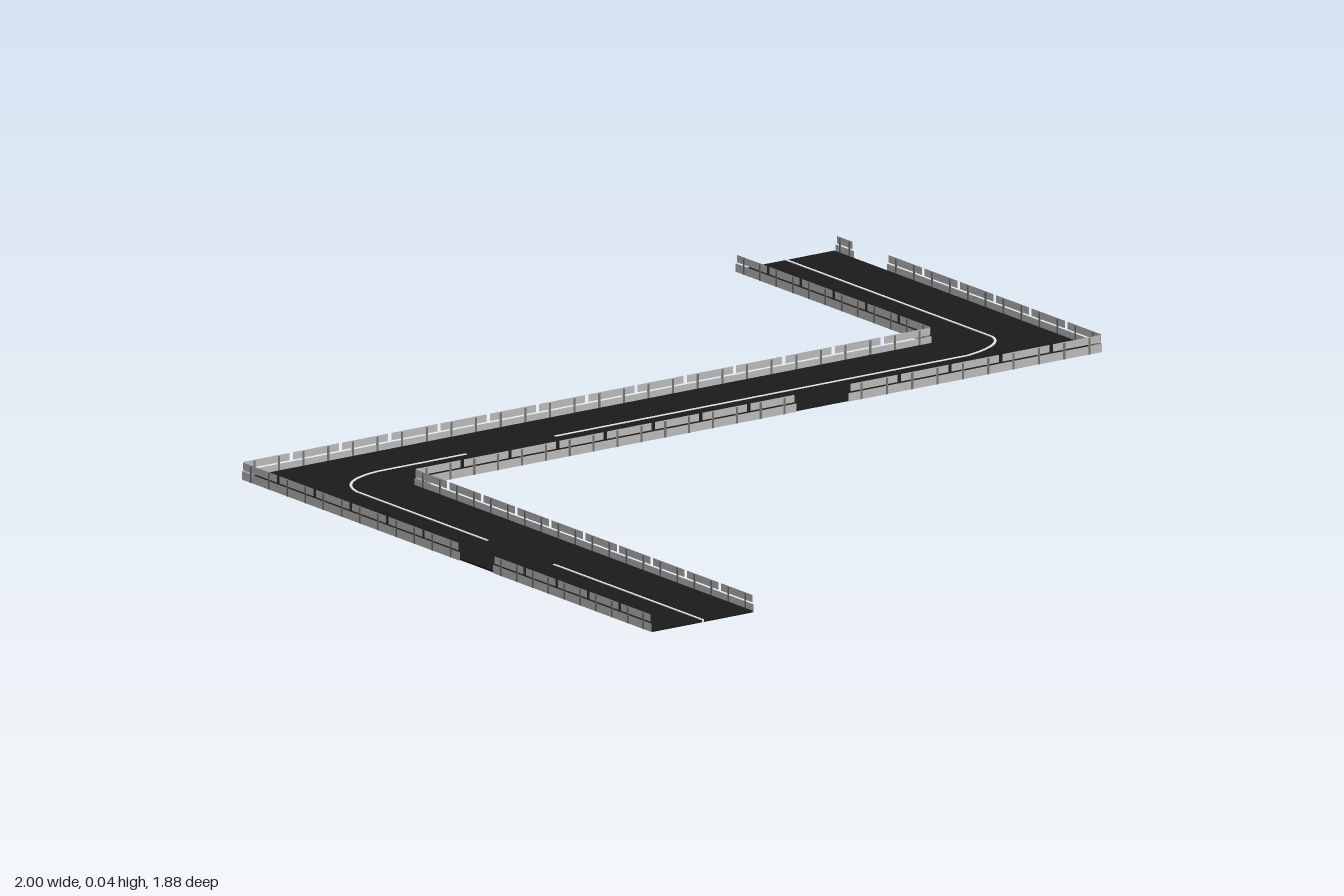
import * as THREE from 'three';

const mat = (name, color, side = THREE.FrontSide) => {
  const m = new THREE.MeshStandardMaterial({ color, side });
  m.name = name;
  return m;
};

export function createModel() {
  const asphalt = mat('asphalt', 0x1b1b1b);
  const paint = mat('linePaint', 0xffffff);
  const steel = mat('railSteel', 0xb8b8b8, THREE.DoubleSide);
  const dark = mat('postSteel', 0x707070, THREE.DoubleSide);

  const root = new THREE.Group();
  root.name = 'road';

  // Two edges of the road, from the back left end to the front right end
  const outer = [[-1, -0.939], [-0.122, -0.939], [-0.122, 0.703], [0.996, 0.703]];
  const inner = [[-1, -0.707], [-0.354, -0.707], [-0.354, 0.94], [0.996, 0.94]];

  // Road slab
  const outline = new THREE.Shape(
    [...outer, ...[...inner].reverse()].map(([x, z]) => new THREE.Vector2(x, -z)));
  const slab = new THREE.ExtrudeGeometry(outline, { depth: 0.004, bevelEnabled: false });
  slab.rotateX(-Math.PI / 2).translate(0, 0.0005, 0);
  const road = new THREE.Mesh(slab, asphalt);
  road.name = 'roadSurface';
  root.add(road);

  // Centre line: thin strips along paths with rounded corners
  const bend = (a, b, c) => new THREE.QuadraticBezierCurve(
    new THREE.Vector2(...a), new THREE.Vector2(...b), new THREE.Vector2(...c))
    .getPoints(10).map(p => [p.x, p.y]);
  const lines = [
    [[-1, -0.823], ...bend([-0.32, -0.823], [-0.26, -0.81], [-0.238, -0.705]), [-0.238, 0.28]],
    [[-0.235, 0.495], ...bend([-0.235, 0.705], [-0.222, 0.81], [-0.14, 0.824]), [0.29, 0.824]],
    [[0.505, 0.821], [0.996, 0.821]],
  ];
  const centreLine = new THREE.Group();
  centreLine.name = 'centreLine';
  for (const path of lines) {
    for (let i = 1; i < path.length; i++) {
      const [ax, az] = path[i - 1], [bx, bz] = path[i];
      const strip = new THREE.Mesh(
        new THREE.BoxGeometry(Math.hypot(bx - ax, bz - az) + 0.001, 0.006, 0.005), paint);
      strip.name = 'lineStrip';
      strip.position.set((ax + bx) / 2, 0.003, (az + bz) / 2);
      strip.rotation.y = -Math.atan2(bz - az, bx - ax);
      centreLine.add(strip);
    }
  }
  root.add(centreLine);

  // One guard rail section: two beams on short posts
  const section = (length) => {
    const g = new THREE.Group();
    g.name = 'railSection';
    const plate = (name, w, h, x, y, m, z = 0) => {
      const p = new THREE.Mesh(new THREE.PlaneGeometry(w, h), m);
      p.name = name;
      p.position.set(x, y, z);
      g.add(p);
    };
    plate('upperBeam', length - 0.008, 0.015, 0, 0.0275, steel);
    plate('lowerBeam', length, 0.017, 0, 0.0085, steel);
    for (const side of [-1, 1]) {
      const x = side * length * 0.25;
      plate('post', 0.005, 0.033, x, 0.0165, dark, 0.0005);
      plate('post', 0.005, 0.033, x, 0.0165, dark, -0.0005);
    }
    return g;
  };

  // A run of sections between two points, leaving out an open stretch [from, to]
  const rail = (name, a, b, offset, gap) => {
    const g = new THREE.Group();
    g.name = name;
    const total = Math.hypot(b[0] - a[0], b[1] - a[1]);
    const spans = gap ? [[0, gap[0]], [gap[1], total]] : [[0, total]];
    for (const [from, to] of spans) {
      const n = Math.max(1, Math.round((to - from) / 0.115));
      const pitch = (to - from) / n;
      for (let i = 0; i < n; i++) {
        const s = section(pitch);
        s.position.x = from + (i + 0.5) * pitch;
        g.add(s);
      }
    }
    // Sit just outside the edge of the slab
    g.position.set(a[0] + offset, 0, a[1] - offset);
    g.rotation.y = -Math.atan2(b[1] - a[1], b[0] - a[0]);
    root.add(g);
  };

  // Guard rails on both edges, each with its open stretches
  const outerGaps = [[0.06, 0.17], [0.605, 0.73], null];
  const innerGaps = [null, null, [0.718, 0.828]];
  for (let i = 0; i < 3; i++) {
    rail('outerRail' + (i + 1), outer[i], outer[i + 1], 0.002, outerGaps[i]);
    rail('innerRail' + (i + 1), inner[i], inner[i + 1], -0.002, innerGaps[i]);
  }
  return root;
}
